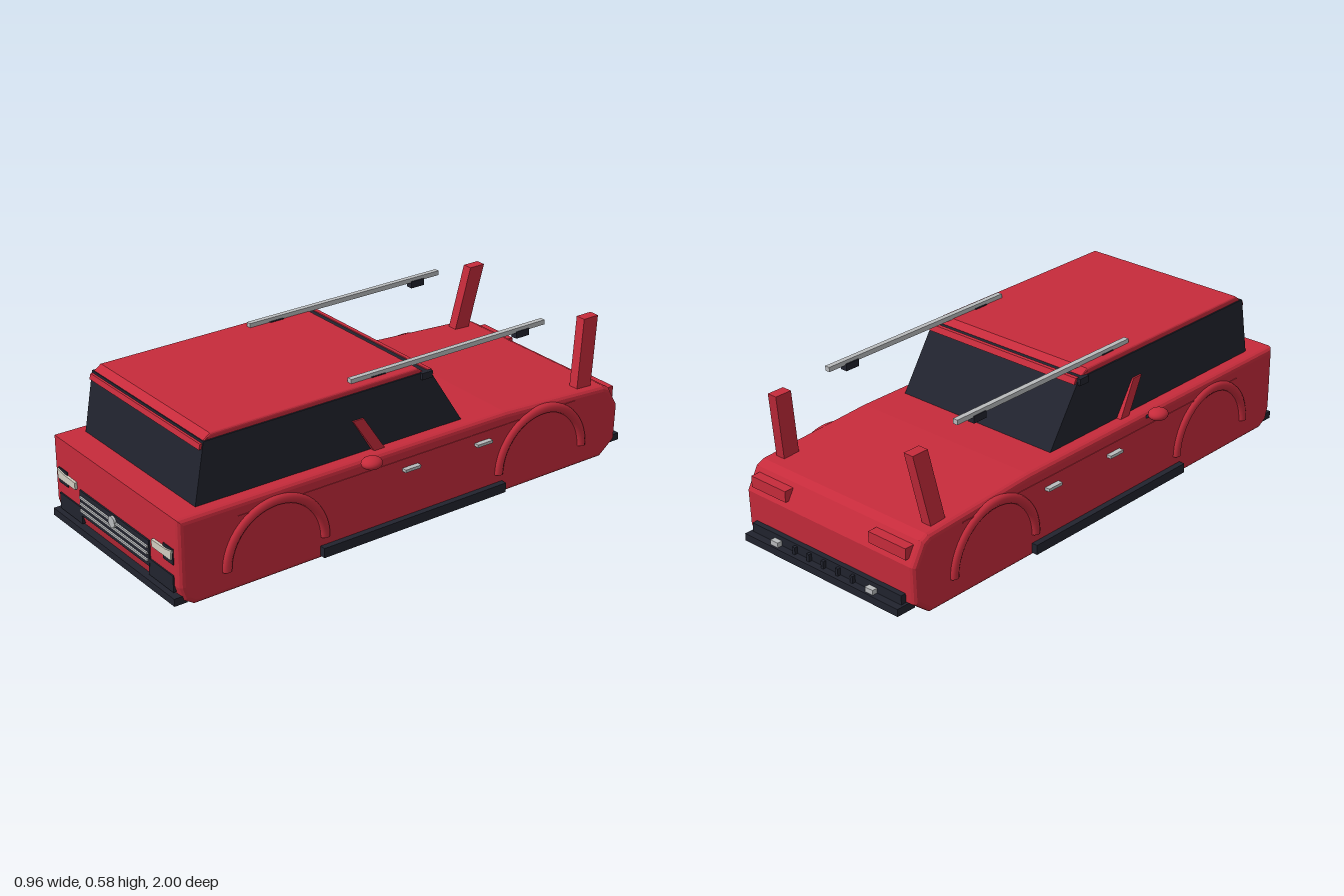
import * as THREE from 'three';

export function createModel() {
  const car = new THREE.Group();
  car.name = 'car';
  const mat = (name, color) => {
    const m = new THREE.MeshStandardMaterial({ color });
    m.name = name;
    return m;
  };
  const red = mat('red paint', 0xc62b3b);
  const dark = mat('dark trim and glass', 0x21232e);
  const silver = mat('silver', 0xb9bbbd);
  const cream = mat('lamp lens', 0xd2cdc0);

  const add = (name, geo, m, x = 0, y = 0, z = 0) => {
    const mesh = new THREE.Mesh(geo, m);
    mesh.name = name;
    mesh.position.set(x, y, z);
    car.add(mesh);
    return mesh;
  };
  // Box given by its limits on each axis
  const box = (name, m, [x0, x1], [y0, y1], [z0, z1]) =>
    add(name, new THREE.BoxGeometry(x1 - x0, y1 - y0, z1 - z0), m,
      (x0 + x1) / 2, (y0 + y1) / 2, (z0 + z1) / 2);
  // Box limits mirrored for either side
  const side = (s, a, b) => (s > 0 ? [a, b] : [-b, -a]);
  // Side profile of (z, y) points, extruded across the car's width
  const across = (name, m, points, half, bevel) => {
    const shape = new THREE.Shape(points.map(([z, y]) => new THREE.Vector2(z, y)));
    const geo = new THREE.ExtrudeGeometry(shape, {
      depth: 2 * (half - bevel), bevelEnabled: bevel > 0, bevelSize: bevel,
      bevelThickness: bevel, bevelOffset: -bevel, bevelSegments: 3,
    });
    geo.translate(0, 0, -(half - bevel));
    geo.rotateY(-Math.PI / 2);
    return add(name, geo, m);
  };
  // Leaning post between two centre points, with level ends
  const post = (name, m, a, b, w, d) => {
    const h = b[1] - a[1];
    const geo = new THREE.BoxGeometry(w, h, d);
    const p = geo.attributes.position;
    for (let i = 0; i < p.count; i++) {
      const t = p.getY(i) / h;
      p.setX(i, p.getX(i) + t * (b[0] - a[0]));
      p.setZ(i, p.getZ(i) + t * (b[2] - a[2]));
    }
    geo.computeVertexNormals();
    return add(name, geo, m, (a[0] + b[0]) / 2, (a[1] + b[1]) / 2, (a[2] + b[2]) / 2);
  };

  // Lower body
  across('body', red, [
    [0.925, 0.005], [0.965, 0.03], [0.98, 0.08], [0.98, 0.33], [-0.4, 0.325],
    [-0.88, 0.295], [-0.91, 0.28], [-0.955, 0.2], [-0.95, 0.06], [-0.88, 0.005],
  ], 0.405, 0.02);

  // Glasshouse and roof
  across('glasshouse', dark, [[0.88, 0.325], [0.84, 0.553], [-0.09, 0.553], [-0.24, 0.32]], 0.35, 0);
  across('roof', red, [[0.84, 0.55], [0.81, 0.573], [-0.04, 0.573], [-0.07, 0.55]], 0.345, 0.008);
  across('frontHeader', red, [[0.84, 0.525], [0.855, 0.525], [0.85, 0.545], [0.835, 0.545]], 0.345, 0);
  across('rearHeader', red, [[-0.08, 0.535], [-0.085, 0.556], [-0.1, 0.556], [-0.11, 0.535]], 0.345, 0);

  // Grille with bars and a plain disc
  box('grille', dark, [-0.225, 0.225], [0.088, 0.185], [0.97, 0.986]);
  for (const y of [0.11, 0.136, 0.161]) box('grilleBar', silver, [-0.22, 0.22], [y - 0.004, y + 0.004], [0.98, 0.992]);
  const disc = add('grilleDisc', new THREE.CylinderGeometry(0.021, 0.021, 0.014, 24), silver, 0, 0.16, 0.988);
  disc.rotation.x = Math.PI / 2;

  // Bumpers
  box('frontBumper', dark, [-0.395, 0.395], [0.02, 0.048], [0.95, 1]);
  box('rearBumperStep', dark, [-0.37, 0.37], [0.03, 0.058], [-1, -0.92]);
  box('rearBumper', dark, [-0.36, 0.36], [0.055, 0.092], [-0.972, -0.92]);
  for (let i = -2; i <= 2; i++) box('rearBumperRib', dark, [i * 0.07 - 0.006, i * 0.07 + 0.006], [0.055, 0.085], [-0.985, -0.96]);

  const lens = new THREE.Shape([[0.25, 0.176], [0.365, 0.176], [0.37, 0.212], [0.335, 0.205], [0.248, 0.203]]
    .map(([x, y]) => new THREE.Vector2(x, y)));

  for (const s of [1, -1]) {
    // Headlamps and lower intakes
    box('lampHousing', dark, side(s, 0.31, 0.37), [0.158, 0.216], [0.97, 0.984]);
    const lensGeo = new THREE.ExtrudeGeometry(lens, { depth: 0.012, bevelEnabled: false });
    if (s < 0) {
      // Turn to the other side, keeping corner order
      const p = lensGeo.attributes.position;
      for (let i = 0; i < p.count; i += 3) {
        const [a, b, c] = [0, 1, 2].map((k) => new THREE.Vector3().fromBufferAttribute(p, i + k));
        [a, c, b].forEach((v, k) => p.setXYZ(i + k, -v.x, v.y, v.z));
      }
      lensGeo.computeVertexNormals();
    }
    add('headlamp', lensGeo, cream, 0, 0, 0.978);
    box('lowerIntake', dark, side(s, 0.218, 0.368), [0.055, 0.117], [0.96, 0.985]);

    // Tail lamps and rear bumper fittings
    box('tailLamp', red, side(s, 0.2, 0.37), [0.222, 0.264], [-0.957, -0.91]);
    box('rearFitting', silver, side(s, 0.212, 0.248), [0.058, 0.076], [-0.992, -0.96]);

    // Wheel arches
    for (const z of [0.6, -0.572]) {
      const arch = add('wheelArch', new THREE.TorusGeometry(0.2, 0.019, 10, 32, Math.PI), red, s * 0.402, 0.09, z);
      arch.rotation.y = Math.PI / 2;
    }

    // Sill, belt line and door handles
    box('sill', dark, side(s, 0.38, 0.428), [0.02, 0.057], [-0.39, 0.42]);
    box('beltLine', red, side(s, 0.395, 0.407), [0.276, 0.28], [-0.73, 0.75]);
    for (const z of [0.035, -0.29]) box('doorHandle', silver, side(s, 0.4, 0.424), [0.235, 0.246], [z - 0.034, z + 0.034]);

    // Door mirror
    const mirror = add('mirror', new THREE.SphereGeometry(1, 24, 16), red, s * 0.445, 0.333, 0.233);
    mirror.scale.set(0.035, 0.022, 0.039);
    post('mirrorArm', dark, [s * 0.39, 0.305, 0.225], [s * 0.43, 0.33, 0.23], 0.02, 0.02);

    // Leaning posts
    post('windowPost', red, [s * 0.358, 0.325, 0.14], [s * 0.345, 0.455, 0.222], 0.022, 0.045);
    post('rearPost', red, [s * 0.352, 0.28, -0.803], [s * 0.322, 0.558, -0.852], 0.04, 0.068);

    // Roof rail with feet
    box('roofRail', silver, side(s, 0.292, 0.312), [0.571, 0.589], [-0.65, 0.22]);
    for (const z of [0.105, -0.545]) box('railFoot', dark, side(s, 0.287, 0.315), [0.55, 0.576], [z - 0.03, z + 0.03]);
    box('glassCorner', dark, side(s, 0.34, 0.36), [0.53, 0.555], [-0.095, -0.05]);
  }
  return car;
}
